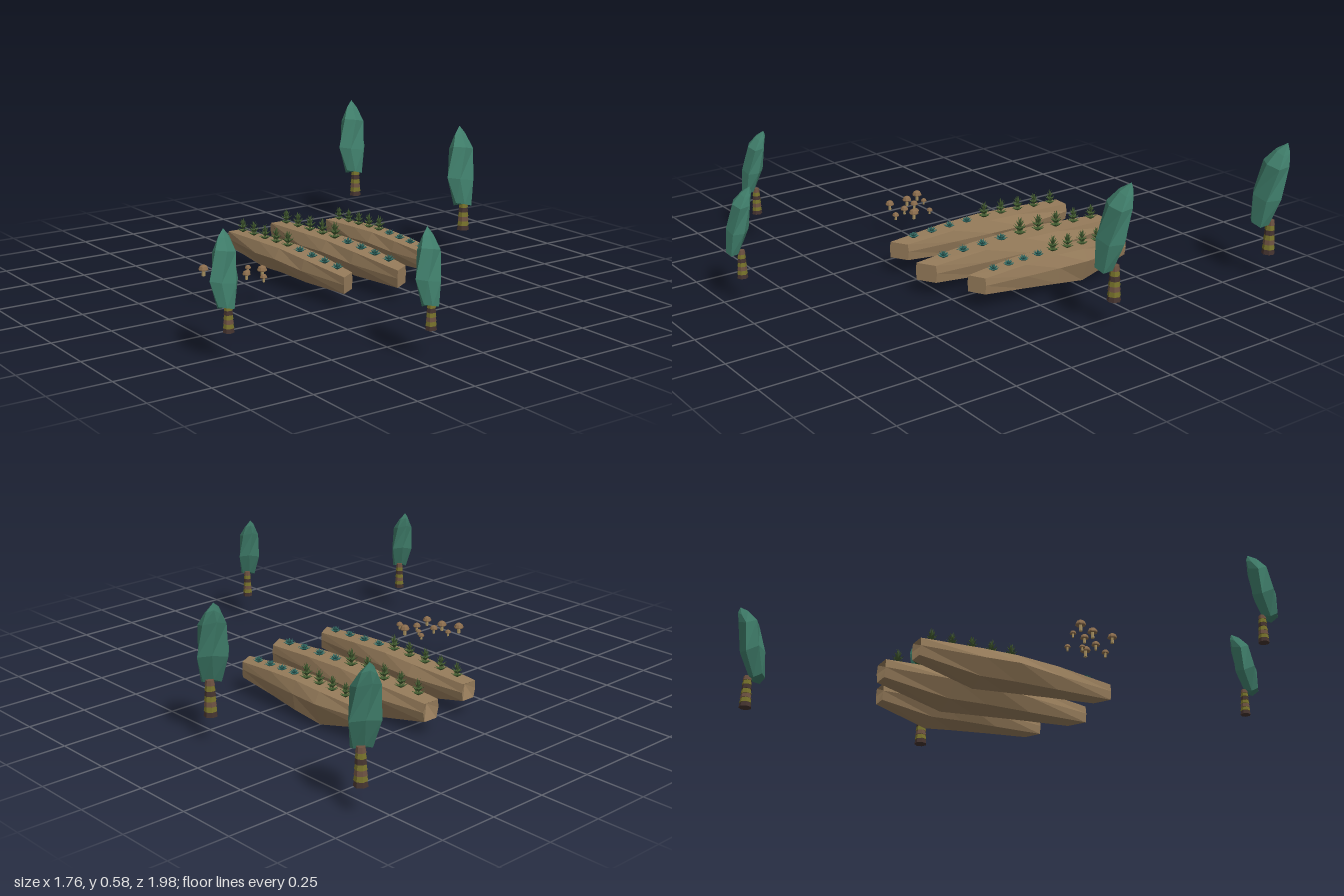
import * as THREE from 'three';
import { mergeGeometries } from 'three/addons/utils/BufferGeometryUtils.js';

const mat = (color) => new THREE.MeshStandardMaterial({ color, flatShading: true });
const MATS = {
  leaf: mat(0x3f7d6a), bark: mat(0x6b5040), darkBark: mat(0x44332f), moss: mat(0x75702a),
  soil: mat(0x957b5a), bush: mat(0x41592f), rosette: mat(0x2f6660), cap: mat(0x8a6c4c), stem: mat(0xa08a5c),
};

function add(parent, name, geometry, material, x = 0, y = 0, z = 0) {
  const mesh = new THREE.Mesh(geometry, material);
  mesh.name = name;
  mesh.position.set(x, y, z);
  parent.add(mesh);
  return mesh;
}

// Skin over closed rings of [x, y, z]; each end closes on its own apex point
function loft(rings, startApex, endApex) {
  const pos = [];
  const tri = (a, b, c) => pos.push(...a, ...b, ...c);
  const n = rings[0].length;
  const last = rings[rings.length - 1];
  for (let j = 0; j < n; j++) {
    const k = (j + 1) % n;
    tri(startApex, rings[0][k], rings[0][j]);
    for (let i = 0; i < rings.length - 1; i++) {
      const [r, s] = [rings[i], rings[i + 1]];
      tri(r[j], r[k], s[k]);
      tri(r[j], s[k], s[j]);
    }
    tri(endApex, last[j], last[k]);
  }
  const geo = new THREE.BufferGeometry();
  geo.setAttribute('position', new THREE.Float32BufferAttribute(pos, 3));
  geo.computeVertexNormals();
  return geo;
}

// Leaning faceted crown: y, centre x, centre z, radius x, radius z, twist
function crownGeometry() {
  const rings = [
    [0.132, -0.03, 0.03, 0.045, 0.034, 0.2],
    [0.245, -0.023, 0.004, 0.076, 0.05, 0.0],
    [0.38, -0.006, -0.017, 0.06, 0.045, 0.35],
    [0.43, 0.006, -0.038, 0.034, 0.026, 0.2],
  ].map(([y, cx, cz, rx, rz, twist]) => Array.from({ length: 6 }, (_, j) => {
    const a = j / 6 * Math.PI * 2 + twist;
    return [cx + rx * Math.cos(a), y + 0.012 * Math.sin(j * 2.3), cz - rz * Math.sin(a)];
  }));
  return loft(rings, [-0.02, 0.125, 0.025], [0.014, 0.466, -0.055]);
}

// Planter hull: a skewed front end, deepest behind the middle, notched at the back
function planterGeometry() {
  const sections = [
    [0.31, [-0.035, 0.133, 0.038, 0.133, 0.042, 0.1, 0.038, 0.06, -0.035, 0.06, -0.038, 0.1]],
    [0.05, [-0.052, 0.15, 0.05, 0.15, 0.06, 0.1, 0.045, 0.04, -0.042, 0.045, -0.066, 0.1]],
    [-0.15, [-0.052, 0.156, 0.052, 0.156, 0.072, 0.1, 0.06, 0.025, -0.035, 0.04, -0.078, 0.11]],
    [-0.32, [-0.05, 0.15, 0.052, 0.15, 0.079, 0.1, 0.045, 0, -0.032, 0.03, -0.072, 0.1]],
    [-0.61, [-0.038, 0.135, 0.035, 0.135, 0.043, 0.1, 0.035, 0.06, -0.03, 0.06, -0.04, 0.1]],
  ];
  const rings = sections.map(([z, p], i) => Array.from({ length: 6 }, (_, j) =>
    [p[2 * j], p[2 * j + 1], z - (i === 0 ? 0.6 * p[2 * j] : 0)]));
  return loft(rings, [0, 0.1, 0.31], [0, 0.12, -0.585]);
}

// Tiers of pointed leaves: [count, height, tilt, length, width]
function plantGeometry(tiers) {
  const leaves = [];
  tiers.forEach(([count, y, tilt, length, width], t) => {
    for (let i = 0; i < count; i++) {
      const leaf = new THREE.ConeGeometry(width, length, 4);
      leaf.translate(0, length / 2, 0).scale(1, 1, 0.6);
      leaf.rotateX(tilt).rotateY((i + t * 0.5) / count * Math.PI * 2).translate(0, y, 0);
      leaves.push(leaf);
    }
  });
  return mergeGeometries(leaves);
}

function makeTree(crown, x, z, sx, sy) {
  const tree = new THREE.Group();
  tree.name = 'tree';
  const bands = ['darkBark', 'moss', 'bark', 'moss', 'darkBark', 'moss', 'bark'];
  const h = 0.145 / bands.length;
  bands.forEach((band, i) => {
    const r = 0.028 - i * 0.0013;
    add(tree, 'trunkBand', new THREE.CylinderGeometry(r - 0.004, r, h, 7), MATS[band], 0, (i + 0.5) * h, 0);
  });
  add(tree, 'crown', crown, MATS.leaf);
  tree.position.set(x, 0.11, z);
  tree.scale.set(sx, sy, sy);
  return tree;
}

export function createModel() {
  const model = new THREE.Group();
  model.name = 'garden';

  // Two tall trees and two smaller ones
  const crown = crownGeometry();
  [[0.82, -0.93, 1, 1], [0.82, -0.1, 1, 1], [-0.81, 0.55, 0.77, 0.8], [-0.198, 0.94, 0.77, 0.8]]
    .forEach((t) => model.add(makeTree(crown, ...t)));

  // Three planters, bushes at the back and rosettes at the front
  const hull = planterGeometry();
  const bush = plantGeometry([[7, 0.005, 1.15, 0.036, 0.009], [7, 0.022, 0.95, 0.036, 0.009],
    [6, 0.038, 0.65, 0.032, 0.008], [3, 0.045, 0.25, 0.034, 0.008]]);
  const rosette = plantGeometry([[8, 0.004, 1.2, 0.03, 0.009], [7, 0.006, 0.75, 0.027, 0.009],
    [4, 0.008, 0.25, 0.022, 0.008]]);
  const plots = [
    [-0.09, -0.01, 0.93, 0.93, 0.012, -0.155, 0.0895, 0.09],
    [0.155, 0, 1, 1, 0, -0.16, 0.095, 0.096],
    [0.385, -0.02, 0.89, 0.8, 0.014, -0.15, 0.076, 0.074],
  ];
  for (const [x, z, sx, sz, y, mid, backStep, frontStep] of plots) {
    const planter = new THREE.Group();
    planter.name = 'planter';
    const body = add(planter, 'planterBody', hull, MATS.soil, x, y, z);
    body.scale.set(sx, 0.92 + (0.08 - y * 5), sz);
    const top = 0.153 * body.scale.y + y;
    for (let i = 0; i < 9; i++) {
      const back = i < 5;
      const pz = back ? mid - i * backStep : mid + (i - 4) * frontStep;
      const drop = back ? i * 0.003 : (i - 4) * 0.003;
      const plant = add(planter, back ? 'bush' : 'rosette', back ? bush : rosette,
        back ? MATS.bush : MATS.rosette, x, top - drop, pz);
      plant.rotation.y = i * 1.3;
      plant.scale.setScalar(sx * (back ? 1 - i * 0.03 : 1));
    }
    model.add(planter);
  }

  // Mushroom patch: x, z, cap radius
  const patch = [[-0.53, -0.105, 0.021], [-0.468, -0.1, 0.013], [-0.5, -0.032, 0.02], [-0.447, -0.035, 0.017],
    [-0.352, -0.053, 0.013], [-0.384, -0.005, 0.012], [-0.341, 0.037, 0.021], [-0.415, 0.037, 0.017],
    [-0.5, 0.058, 0.019], [-0.378, 0.106, 0.015]];
  const cap = new THREE.LatheGeometry([[0, 0.1], [0.95, 0], [1, 0.18], [0.75, 0.75], [0.35, 1.0], [0, 1.08]]
    .map(([r, y]) => new THREE.Vector2(r, y)), 8);
  const stem = new THREE.CylinderGeometry(0.3, 0.38, 1.3, 6);
  for (const [x, z, r] of patch) {
    const mushroom = new THREE.Group();
    mushroom.name = 'mushroom';
    add(mushroom, 'stem', stem, MATS.stem, 0, 0.65, 0);
    add(mushroom, 'cap', cap, MATS.cap, 0, 1.15, 0);
    mushroom.position.set(x, 0.115, z);
    mushroom.scale.setScalar(r);
    model.add(mushroom);
  }
  return model;
}
